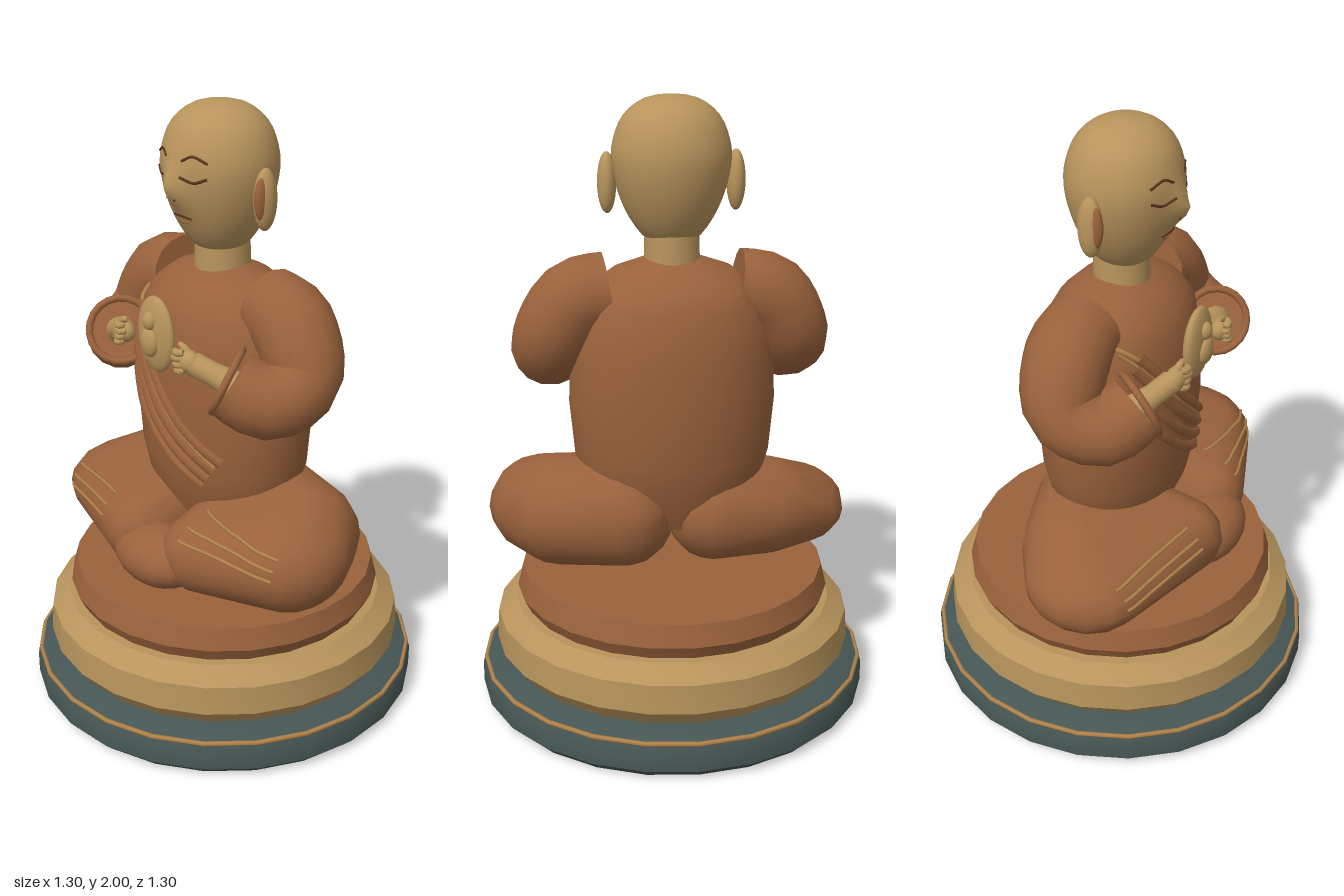
import * as THREE from 'three';
import { toCreasedNormals } from 'three/addons/utils/BufferGeometryUtils.js';
import { ConvexGeometry } from 'three/addons/geometries/ConvexGeometry.js';

const V = (p) => new THREE.Vector3(...p);

// Closed surface of revolution, squashed in depth, with crisp steps where the angle is steep
function lathe(profile, segs, depth = 1, crease = 0.6) {
  const g = new THREE.LatheGeometry(profile.map((p) => new THREE.Vector2(...p)), segs);
  g.scale(1, 1, depth);
  return toCreasedNormals(g, crease);
}

function ellipsoid(c, r, w = 20, h = 14) {
  return new THREE.SphereGeometry(1, w, h).scale(...r).translate(...c);
}

// Smooth convex skin around several ellipsoids, each [centre, radii]
function hull(blobs) {
  const pts = [];
  for (const [c, r] of blobs) {
    const a = ellipsoid(c, r, 14, 10).attributes.position;
    for (let i = 0; i < a.count; i++) pts.push(new THREE.Vector3().fromBufferAttribute(a, i));
  }
  return toCreasedNormals(new ConvexGeometry(pts), 0.9);
}

// Tube whose radius varies along the path, with flat end caps
function limb(path, radii, n = 16, sides = 16) {
  const curve = new THREE.CatmullRomCurve3(path.map(V));
  const g = new THREE.TubeGeometry(curve, n, 1, sides);
  const pos = g.attributes.position, v = new THREE.Vector3();
  for (let i = 0; i <= n; i++) {
    const k = Math.min(n - 1, Math.max(1, i)), centre = curve.getPointAt(i / n), ring = curve.getPointAt(k / n);
    const f = ((k - 1) / (n - 2)) * (radii.length - 1), j = Math.min(radii.length - 2, Math.floor(f));
    const r = i === k ? THREE.MathUtils.lerp(radii[j], radii[j + 1], f - j) : 0;
    for (let s = 0; s <= sides; s++) {
      const q = i * (sides + 1) + s;
      v.fromBufferAttribute(pos, q).sub(centre).multiplyScalar(r).add(ring);
      pos.setXYZ(q, v.x, v.y, v.z);
    }
  }
  return toCreasedNormals(g, 0.9);
}

export function createModel() {
  const model = new THREE.Group();
  const mat = (name, color) => Object.assign(new THREE.MeshStandardMaterial({ color }), { name });
  const robe = mat('robe brown', 0x9a623c);
  const gold = mat('gold', 0xb8945c);
  const slate = mat('slate', 0x465654);
  const trim = mat('trim gold', 0xb0824a);
  const dark = mat('dark brown', 0x5c3520);

  const add = (name, geo, material, parent = model) => {
    const m = new THREE.Mesh(geo, material);
    m.name = name;
    parent.add(m);
    return m;
  };

  // Thin line laid on the front of a mesh through [x, y] points
  const ray = new THREE.Raycaster();
  const drape = (name, target, pts, radius, material, lift = 0) => {
    const path = new THREE.CatmullRomCurve3(pts.map(([x, y]) => new THREE.Vector3(x, y, 0)));
    const hits = [];
    for (const p of path.getPoints(12)) {
      ray.set(new THREE.Vector3(p.x, p.y, 2), new THREE.Vector3(0, 0, -1));
      const hit = ray.intersectObject(target)[0];
      if (hit) hits.push(hit.point.add(new THREE.Vector3(0, 0, lift)));
    }
    if (hits.length > 1) add(name, new THREE.TubeGeometry(new THREE.CatmullRomCurve3(hits), 20, radius, 6), material);
  };

  // Stepped round pedestal
  add('basePlinth', lathe([[0, 0], [0.62, 0], [0.65, 0.03], [0.65, 0.1], [0.635, 0.125], [0.59, 0.145], [0, 0.145]], 24), slate);
  add('plinthTrim', new THREE.TorusGeometry(0.638, 0.008, 6, 24).rotateX(Math.PI / 2).translate(0, 0.12, 0), trim);
  add('middleTier', lathe([[0, 0.14], [0.555, 0.145], [0.597, 0.2], [0.59, 0.295], [0.53, 0.34], [0, 0.34]], 24), gold);
  add('cushion', lathe([[0, 0.335], [0.5, 0.34], [0.522, 0.385], [0.502, 0.455], [0, 0.455]], 24), robe);

  // Torso
  const torso = add('torso', lathe([[0, 0.6], [0.22, 0.62], [0.29, 0.74], [0.32, 0.85], [0.336, 1.03], [0.328, 1.2], [0.305, 1.35],
    [0.26, 1.41], [0.19, 1.46], [0.09, 1.495], [0, 1.5]], 32, 0.72, 0.9), robe);

  // Crossed legs and the foot tucked in front
  const leftLeg = add('leftLeg', hull([
    [[0.17, 0.66, -0.07], [0.17, 0.18, 0.18]],
    [[0.37, 0.66, -0.02], [0.18, 0.185, 0.19]],
    [[0.42, 0.64, 0.08], [0.187, 0.165, 0.2]],
    [[0.18, 0.61, 0.24], [0.13, 0.13, 0.13]],
  ]), robe);
  const rightLeg = add('rightLeg', hull([
    [[-0.13, 0.65, -0.06], [0.16, 0.17, 0.17]],
    [[-0.3, 0.63, 0], [0.19, 0.165, 0.18]],
    [[-0.43, 0.59, 0.1], [0.178, 0.13, 0.2]],
    [[-0.08, 0.61, 0.27], [0.12, 0.13, 0.14]],
  ]), robe);
  add('foot', ellipsoid([0.04, 0.57, 0.31], [0.175, 0.1, 0.12]), robe);
  for (let i = 0; i < 3; i++) {
    const d = i * 0.033;
    drape('rightLegFold', rightLeg, [[-0.49, 0.6 + d], [-0.32, 0.625 + d], [-0.16, 0.645 + d]], 0.006, trim);
    drape('leftLegFold', leftLeg, [[0.19, 0.69 + d], [0.36, 0.68 + d], [0.52, 0.655 + d]], 0.006, trim);
  }

  // Diagonal robe folds and their piping across the chest
  for (let i = 0; i < 4; i++) {
    const d = i * 0.032;
    drape('chestFold', torso, [[-0.25 + d * 0.5, 1.24 + d], [-0.16 + d, 1.06 + d], [-0.02 + d, 0.92 + d], [0.14 + d * 0.7, 0.82 + d]], 0.019, robe);
  }
  drape('chestPiping', torso, [[-0.26, 1.395], [-0.1, 1.2], [0.05, 1.05], [0.19, 0.925]], 0.008, trim, 0.006);
  drape('chestPiping', torso, [[-0.25, 1.36], [-0.1, 1.165], [0.05, 1.015], [0.19, 0.9]], 0.006, trim, 0.006);

  // Arms, sleeves and hands, mirrored
  for (const s of [1, -1]) {
    const arm = new THREE.Group();
    arm.name = s > 0 ? 'leftArm' : 'rightArm';
    model.add(arm);
    const m = (p) => [s * p[0], p[1], p[2]];
    const tube = (name, path, radii, material, n, sides) => add(name, limb(path.map(m), radii, n, sides), material, arm);
    tube('sleeve', [[0.17, 1.4, -0.01], [0.31, 1.365, -0.01], [0.395, 1.22, 0.02], [0.37, 1.17, 0.13], [0.26, 1.235, 0.22]],
      [0.125, 0.132, 0.128, 0.118, 0.116, 0.11], robe);
    const cuff = new THREE.TorusGeometry(0.104, 0.012, 8, 20);
    cuff.applyQuaternion(new THREE.Quaternion().setFromUnitVectors(V([0, 0, 1]), V(m([-0.7, 0.41, 0.57])).normalize()));
    add('cuff', cuff.translate(s * 0.272, 1.228, 0.21), robe, arm);
    tube('forearm', [[0.31, 1.21, 0.19], [0.24, 1.245, 0.235], [0.16, 1.275, 0.275]], [0.045, 0.036, 0.038], gold, 8, 12);
    add('palm', ellipsoid(m([0.165, 1.275, 0.275]), [0.048, 0.038, 0.032], 14, 10), gold, arm);
    for (let i = 0; i < 4; i++) {
      const y = 1.247 + i * 0.019, x = 0.118 + Math.abs(i - 2) * 0.008;
      tube('finger', [[0.175, y + 0.004, 0.29], [x + 0.02, y, 0.305], [x, y + 0.005, 0.29]], [0.011, 0.013, 0.012, 0.007], gold, 8, 8);
    }
    tube('thumb', [[0.18, 1.29, 0.27], [0.155, 1.315, 0.28], [0.125, 1.325, 0.28]], [0.014, 0.013, 0.008], gold, 8, 8);
  }

  // Oval held before the chest, with a small raised figure
  add('medallion', ellipsoid([0, 1.31, 0.268], [0.086, 0.123, 0.03], 24, 16), gold);
  add('medallionBody', ellipsoid([0, 1.29, 0.295], [0.038, 0.048, 0.022]), gold);
  add('medallionHead', ellipsoid([0, 1.358, 0.292], [0.026, 0.03, 0.022]), gold);

  // Neck and head; the face is drawn forward into a soft nose
  add('neck', new THREE.CylinderGeometry(0.086, 0.09, 0.12, 24).translate(0, 1.535, 0.005), gold);
  const skull = new THREE.LatheGeometry(new THREE.SplineCurve([[0, 1.54], [0.075, 1.55], [0.13, 1.615], [0.168, 1.7], [0.187, 1.79], [0.182, 1.86],
    [0.15, 1.935], [0.085, 1.985], [0, 2]].map((p) => new THREE.Vector2(...p))).getPoints(24), 40);
  const sp = skull.attributes.position;
  for (let i = 0; i < sp.count; i++) {
    const x = sp.getX(i), y = sp.getY(i), z = sp.getZ(i);
    const nose = z > 0 ? 0.04 * Math.exp(-((x / 0.035) ** 2) - ((y - 1.755) / 0.055) ** 2) : 0;
    sp.setZ(i, z * 0.96 + 0.015 + nose);
  }
  const head = add('head', toCreasedNormals(skull, 1.2), gold);

  // Facial features and ears
  for (const s of [1, -1]) {
    const line = (name, pts, r) => drape(name, head, pts.map(([x, y]) => [s * x, y]), r, dark);
    line('eyebrow', [[0.035, 1.845], [0.07, 1.862], [0.115, 1.845]], 0.0045);
    line('closedEyelid', [[0.035, 1.798], [0.075, 1.785], [0.115, 1.8]], 0.0045);
    line('nostril', [[0.014, 1.725], [0.021, 1.727]], 0.004);
    add('ear', ellipsoid([s * 0.203, 1.733, 0.008], [0.03, 0.096, 0.04]), gold);
    add('earHollow', ellipsoid([s * 0.21, 1.738, 0.026], [0.018, 0.068, 0.028]), robe);
  }
  drape('upperLip', head, [[-0.042, 1.663], [0, 1.669], [0.042, 1.663]], 0.0045, dark);
  drape('lowerLip', head, [[-0.025, 1.65], [0, 1.645], [0.025, 1.65]], 0.004, robe);

  return model;
}
